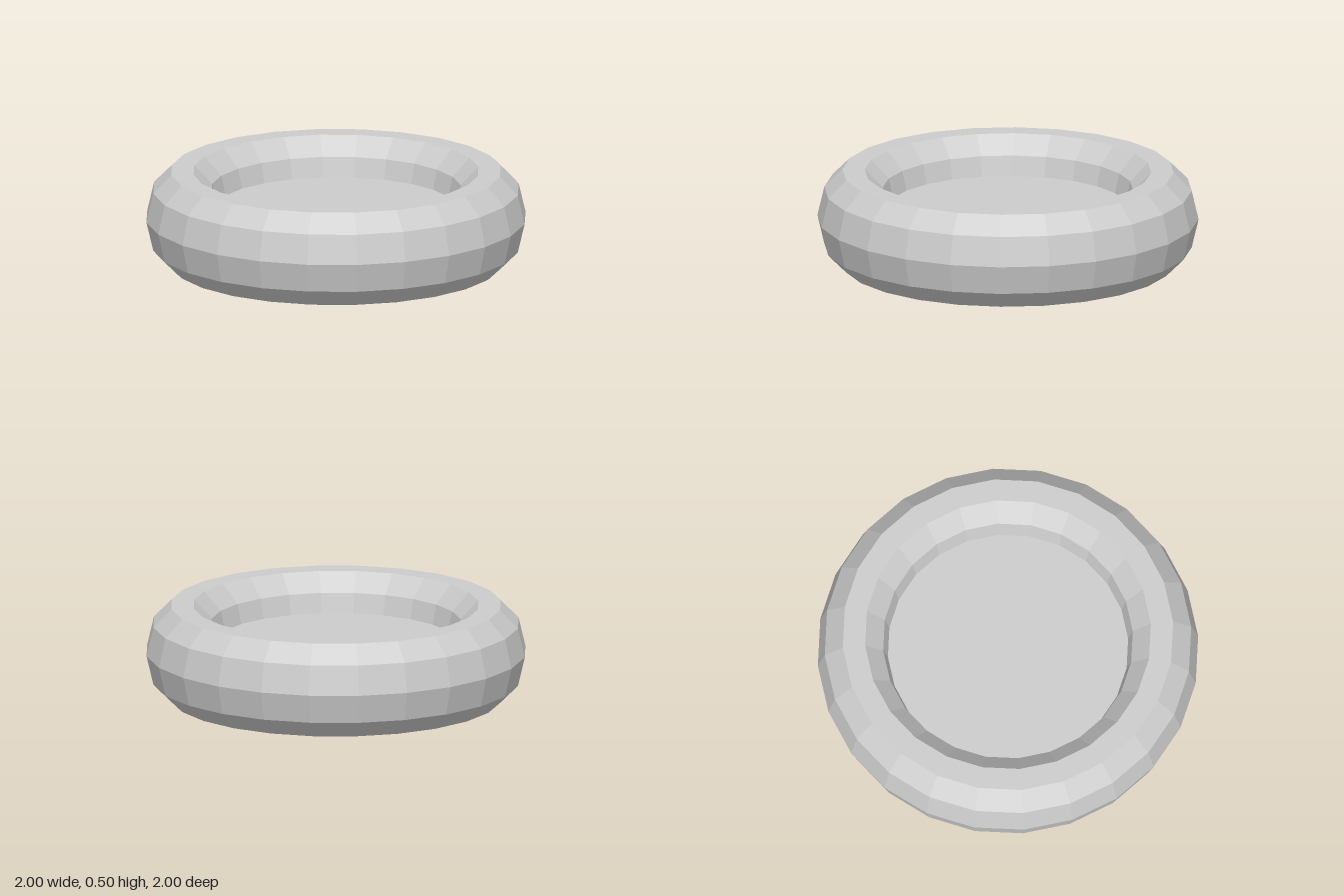
import * as THREE from 'three';

const SIDES = 24;
const TUBE = 0.19;

export function createModel() {
  const model = new THREE.Group();
  const grey = new THREE.MeshStandardMaterial({ color: 0xcccccc, flatShading: true });
  grey.name = 'grey';

  // ten-sided ring, stretched so its flat top and bottom are 0.5 apart
  const ringGeo = new THREE.TorusGeometry(1 - TUBE, TUBE, 10, SIDES);
  ringGeo.rotateX(-Math.PI / 2);
  ringGeo.scale(1, 0.25 / (TUBE * Math.sin(Math.PI * 0.4)), 1);
  const ring = new THREE.Mesh(ringGeo, grey);
  ring.name = 'ring';
  ring.position.y = 0.25;
  model.add(ring);

  // thick floor closing the hole, set into the ring's inner wall
  const floor = new THREE.Mesh(new THREE.CylinderGeometry(0.64, 0.64, 0.1, SIDES), grey);
  floor.name = 'floor';
  floor.position.y = 0.25;
  model.add(floor);

  return model;
}
